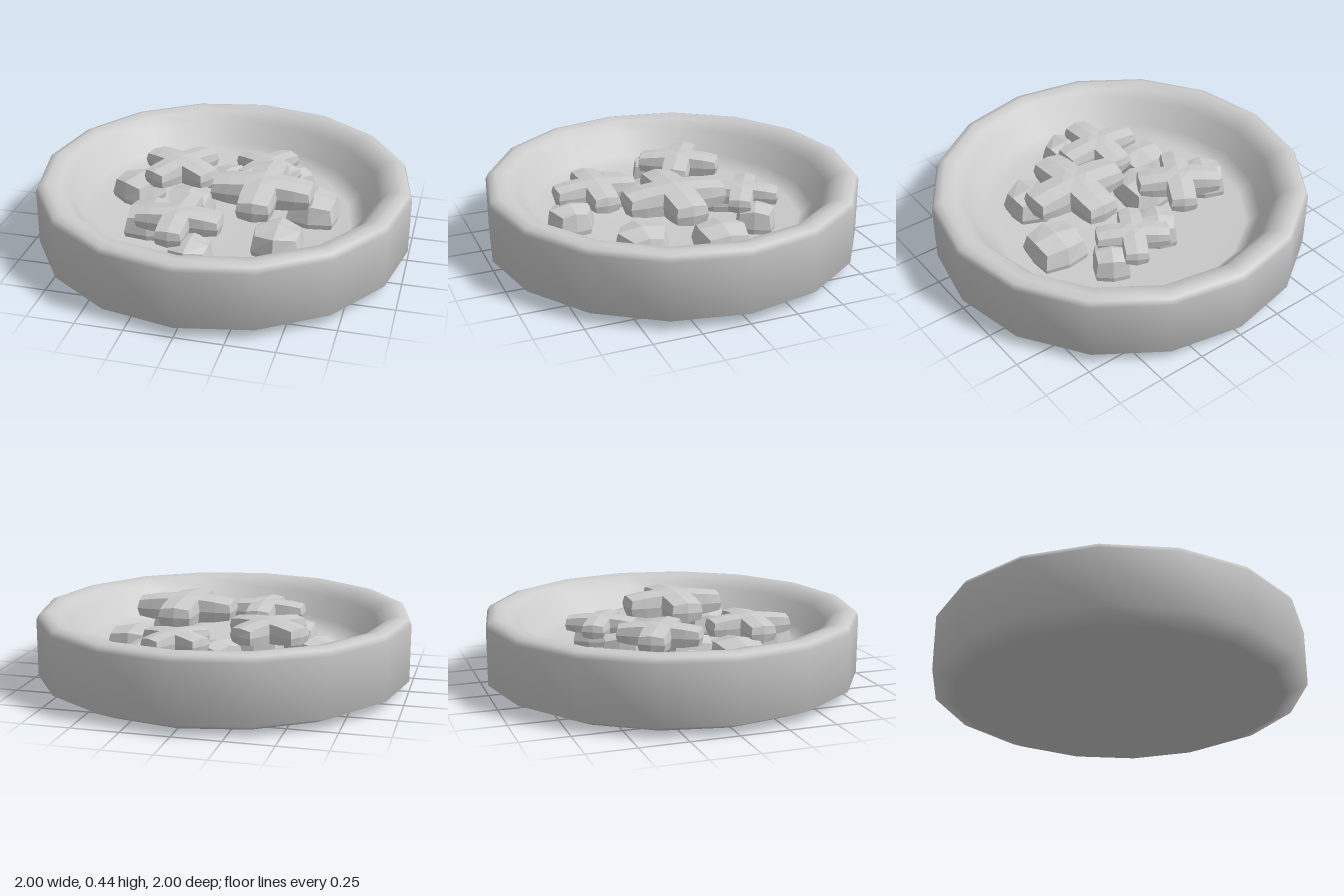
import * as THREE from 'three';
import { mergeGeometries } from 'three/addons/utils/BufferGeometryUtils.js';

const smooth = new THREE.MeshStandardMaterial({ color: 0xcccccc });
const faceted = new THREE.MeshStandardMaterial({ color: 0xcccccc, flatShading: true });

// Move every vertex of a geometry by a rule
function reshape(geometry, rule) {
  const p = geometry.attributes.position;
  const v = new THREE.Vector3();
  for (let i = 0; i < p.count; i++) {
    v.fromBufferAttribute(p, i);
    rule(v);
    p.setXYZ(i, v.x, v.y, v.z);
  }
  geometry.computeVertexNormals();
  return geometry;
}

// Domed plus shape: a centre block and four arms sharing one bulging rule
function crossGeometry(radius, width, height) {
  const half = width / 2;
  const length = radius - half;
  const parts = [new THREE.BoxGeometry(width, height, width, 2, 2, 2)];
  for (let i = 0; i < 4; i++) {
    const arm = new THREE.BoxGeometry(length, height, width, 2, 2, 2);
    arm.translate(half + length / 2, 0, 0);
    arm.rotateY(i * Math.PI / 2);
    parts.push(arm);
  }
  return reshape(mergeGeometries(parts), (v) => {
    const alongX = Math.abs(v.x) > Math.abs(v.z);
    const t = Math.max(Math.abs(v.x), Math.abs(v.z)) / radius;
    const s = Math.min(Math.abs(v.x), Math.abs(v.z)) / half;
    const inset = Math.abs(v.y) > 0.001 ? width * 0.05 : 0;
    for (const axis of ['x', 'z']) {
      if (Math.abs(v[axis]) > 0.001) v[axis] -= Math.sign(v[axis]) * inset;
    }
    // tips taper sideways and round off at their corners
    if (t > 0.99) {
      v[alongX ? 'z' : 'x'] *= 0.94;
      v[alongX ? 'x' : 'z'] *= 1 - 0.035 * s;
    }
    v.y *= 1 - 0.3 * t * t - 0.15 * s * s;
  });
}

// Pillow shape: a box whose faces bulge towards their middles, ends by a given amount
function pillowGeometry(width, height, depth, endBulge) {
  return reshape(new THREE.BoxGeometry(2, 2, 2, 2, 2, 2), (v) => {
    const { x, y, z } = v;
    v.set(
      x * (1 - 0.13 * y * y - 0.08 * z * z) * width / 2,
      y * (1 - 0.16 * x * x - 0.16 * z * z) * height / 2,
      z * (1 - 0.12 * y * y - endBulge * x * x) * depth / 2
    );
  });
}

export function createModel() {
  const model = new THREE.Group();
  const add = (name, geometry, material, x = 0, y = 0, z = 0, turn = 0) => {
    const mesh = new THREE.Mesh(geometry, material);
    mesh.name = name;
    mesh.position.set(x, y, z);
    mesh.rotation.y = turn;
    model.add(mesh);
  };

  // Sixteen-sided bowl: base, outer wall, rolled rim, sloping inner wall, floor
  const profile = [
    [0, 0], [0.88, 0.002], [1, 0.055], [1, 0.36], [0.985, 0.388], [0.945, 0.4],
    [0.885, 0.388], [0.83, 0.335], [0.76, 0.22], [0.69, 0.15], [0, 0.14],
  ].map(([r, y]) => new THREE.Vector2(r, y));
  add('bowl', new THREE.LatheGeometry(profile, 16), smooth);

  // Upper layer of cross pieces: x, top height, z, radius, arm width, turn
  const crosses = [
    [0.23, 0.44, 0.085, 0.272, 0.185, 0],
    [-0.14, 0.365, 0.39, 0.228, 0.15, 0],
    [-0.28, 0.39, -0.155, 0.225, 0.15, -0.53],
    [0.17, 0.345, -0.34, 0.195, 0.13, -0.53],
  ];
  crosses.forEach(([x, top, z, r, w, turn], i) => {
    const height = r * 0.57;
    add('crossPiece' + (i + 1), crossGeometry(r, w, height), faceted, x, top - height / 2, z, turn);
  });

  // Lower layer of pillow pieces: x, z, width, depth, turn, end bulge
  const pillows = [
    [0.475, -0.08, 0.275, 0.28, -0.05, 0.16],
    [0.36, 0.31, 0.27, 0.29, 0, 0.36],
    [-0.04, 0.56, 0.23, 0.26, 0, 0.36],
    [-0.33, 0.25, 0.27, 0.28, 0.05, 0.14],
    [-0.185, 0.03, 0.26, 0.27, 0, 0.14],
    [-0.51, -0.09, 0.24, 0.24, -0.53, 0.16],
    [-0.04, -0.28, 0.2, 0.23, -0.53, 0.16],
    [0.315, -0.35, 0.19, 0.21, -0.53, 0.16],
  ];
  pillows.forEach(([x, z, w, d, turn, bulge], i) =>
    add('pillowPiece' + (i + 1), pillowGeometry(w, 0.23, d, bulge), faceted, x, 0.175, z, turn));

  return model;
}
